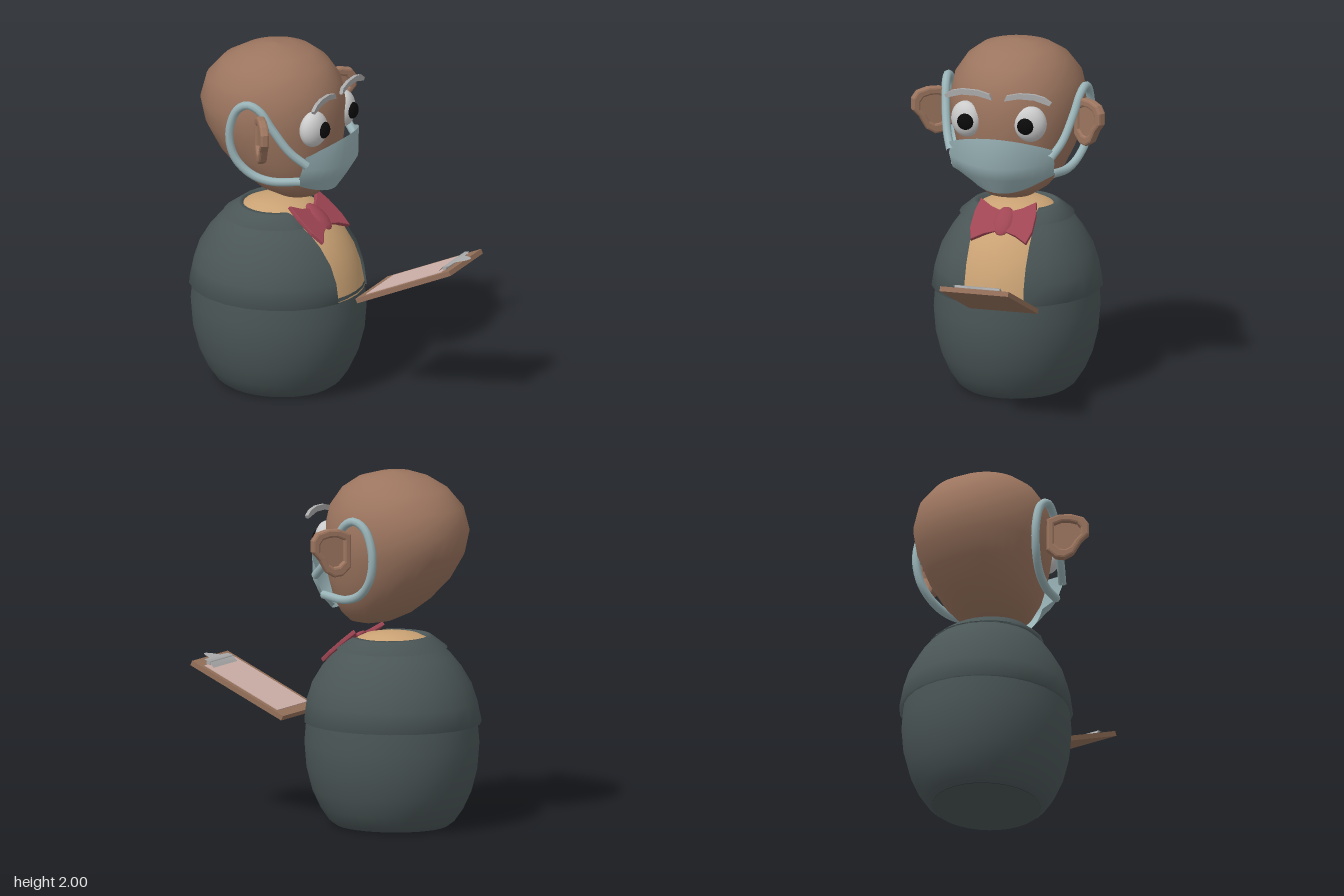
import * as THREE from 'three';

const SKIN = 0x9c755f, CLOTH = 0x4b5657, TAN = 0xcaa274, MASK = 0x9ab4b8, GREY = 0xaaaaaa;
const V = (x, y, z) => new THREE.Vector3(x, y, z);

export function createModel() {
  const model = new THREE.Group();

  function add(name, geometry, color, parent = model, double = false) {
    const material = new THREE.MeshStandardMaterial({ color });
    if (double) material.side = THREE.DoubleSide;
    const mesh = new THREE.Mesh(geometry, material);
    mesh.name = name;
    parent.add(mesh);
    return mesh;
  }

  // Smooth indexed surface over a grid of points
  function grid(rows, cols, point, closed = false) {
    const pos = [], idx = [];
    for (let j = 0; j < rows; j++) for (let i = 0; i < cols; i++) pos.push(...point(i, j));
    const last = closed ? cols : cols - 1;
    for (let j = 0; j < rows - 1; j++) for (let i = 0; i < last; i++) {
      const a = j * cols + i, b = j * cols + (i + 1) % cols, c = a + cols, d = b + cols;
      idx.push(a, c, b, b, c, d);
    }
    const g = new THREE.BufferGeometry();
    g.setAttribute('position', new THREE.Float32BufferAttribute(pos, 3));
    g.setIndex(idx);
    g.computeVertexNormals();
    return g;
  }

  // Stacked elliptic rings [y, centre x, radius x, radius z]; gap = half width of the front opening
  function loft(rings, segs, gap = 0) {
    return grid(rings.length, gap ? segs + 1 : segs, (i, j) => {
      const [y, cx, rx, rz] = rings[j];
      const a0 = gap ? Math.asin(Math.min(1, gap / rz)) : 0;
      const a = a0 + (2 * Math.PI - 2 * a0) * i / segs;
      return [cx + rx * Math.cos(a), y, rz * Math.sin(a)];
    }, !gap);
  }

  function extrude(points, depth, bevel = 0, hole) {
    const shape = new THREE.Shape(points.map(p => new THREE.Vector2(...p)));
    if (hole) shape.holes.push(new THREE.Path(hole.map(p => new THREE.Vector2(...p))));
    return new THREE.ExtrudeGeometry(shape, {
      depth, bevelEnabled: bevel > 0, bevelSize: bevel, bevelThickness: bevel, bevelSegments: 2, bevelOffset: -bevel
    });
  }

  // Lower body with flat base
  const C = -0.33;
  add('lowerBody', loft([
    [0.005, C, 0.32, 0.295], [0.03, C, 0.355, 0.33], [0.1, C, 0.405, 0.377], [0.2, C, 0.452, 0.42], [0.33, C, 0.486, 0.452],
    [0.47, C, 0.497, 0.463], [0.61, C, 0.485, 0.452]], 32), CLOTH);
  const base = add('base', new THREE.CircleGeometry(1, 32), CLOTH);
  base.rotation.x = Math.PI / 2;
  base.scale.set(0.32, 0.295, 1);
  base.position.set(C, 0.002, 0);

  // Shirt and neck stump under the jacket
  add('shirt', loft([
    [0.585, C, 0.488, 0.45], [0.7, C, 0.466, 0.43], [0.8, C, 0.43, 0.4], [0.9, C, 0.372, 0.35], [0.98, C, 0.3, 0.285],
    [1.04, C, 0.225, 0.22], [1.075, C, 0.15, 0.15], [1.09, C, 0.07, 0.07], [1.092, C, 0, 0]], 32), TAN);

  // Jacket, open at the front, with a short folded collar
  add('jacket', loft([
    [0.585, C, 0.46, 0.43], [0.585, C - 0.005, 0.502, 0.477], [0.7, C, 0.483, 0.458], [0.8, C, 0.45, 0.428],
    [0.9, C, 0.39, 0.372], [0.96, C, 0.338, 0.33], [1.02, C, 0.27, 0.27]], 20, 0.172), CLOTH, model, true);
  add('collar', loft([
    [1.0, C, 0.285, 0.28], [1.0, C, 0.307, 0.322], [1.065, C, 0.215, 0.245], [1.07, C, 0.2, 0.22], [1.04, C, 0.19, 0.2]],
    20, 0.165), CLOTH, model, true);

  // Head: egg leaning forward, given by rings [y, back x, front x, half width]
  const profile = [[1.13, -0.22, -0.16, 0.04], [1.15, -0.32, -0.085, 0.13], [1.2, -0.43, -0.04, 0.21],
    [1.28, -0.54, 0, 0.275], [1.4, -0.66, 0.03, 0.328], [1.54, -0.745, 0.045, 0.367], [1.67, -0.775, 0.05, 0.38],
    [1.8, -0.74, 0.02, 0.353], [1.9, -0.65, -0.05, 0.285], [1.96, -0.54, -0.14, 0.205], [1.99, -0.44, -0.25, 0.11]];
  const headRings = profile.map(([y, b, f, w]) => [y, (b + f) / 2, (f - b) / 2, w]);
  add('head', loft([[1.128, -0.19, 0, 0], ...headRings, [2, -0.35, 0, 0]], 36), SKIN);

  for (const s of [1, -1]) {
    const side = s > 0 ? 'left' : 'right';

    // Eyes
    const zc = s > 0 ? 0.2 : -0.172;
    const eye = add(side + 'Eye', new THREE.SphereGeometry(1, 24, 16), 0xd8d8d8);
    eye.scale.set(0.065, 0.103, 0.092);
    eye.rotation.y = -s * 0.3;
    eye.position.set(-0.01, 1.61, zc);
    const pupil = add(side + 'Pupil', new THREE.SphereGeometry(1, 20, 12), 0x0a0a0a);
    pupil.scale.set(0.03, 0.047, 0.047);
    pupil.position.set(0.05, 1.61, zc - s * 0.012);

    // Eyebrows, drawn in the z-y plane and standing off the forehead
    const brow = add(side + 'Eyebrow', extrude([[-0.035, 1.745], [-0.12, 1.765], [-0.21, 1.765], [-0.3, 1.74],
      [-0.31, 1.757], [-0.27, 1.784], [-0.21, 1.798], [-0.12, 1.796], [-0.05, 1.778]].map(([z, y]) => [s * z, y]), 0.02), GREY);
    brow.rotation.y = Math.PI / 2;
    brow.position.x = 0.03;

    // Ears: hollow rim plus a thin bowl, swept backwards
    const ear = new THREE.Group();
    ear.name = side + 'Ear';
    const outline = [[0, 1.5], [0.05, 1.455], [0.1, 1.45], [0.15, 1.48], [0.19, 1.55], [0.235, 1.6], [0.235, 1.665],
      [0.205, 1.705], [0.14, 1.722], [0.07, 1.72], [0, 1.69]];
    const hole = outline.map(([u, y]) => [0.11 + (u - 0.11) * 0.62, 1.6 + (y - 1.6) * 0.62]);
    add('earRim', extrude(outline, 0.025, 0.012, hole), SKIN, ear, true);
    add('earBowl', extrude(outline.map(([u, y]) => [0.11 + (u - 0.11) * 0.75, 1.6 + (y - 1.6) * 0.75]), 0.01), SKIN, ear);
    ear.rotation.y = Math.PI / 2 + Math.PI + 0.62;
    if (s < 0) {
      const mirror = new THREE.Group();
      mirror.name = 'rightEarMirror';
      mirror.scale.z = -1;
      mirror.add(ear);
      model.add(mirror);
    } else model.add(ear);
    ear.position.set(-0.26, 0, 0.355);

    // Mask straps looping round the ears
    const path = [[-0.005, 1.42, 0.29], [-0.09, 1.5, 0.335], [-0.18, 1.63, 0.37], [-0.25, 1.735, 0.39], [-0.32, 1.765, 0.4],
      [-0.39, 1.72, 0.4], [-0.435, 1.58, 0.4], [-0.41, 1.44, 0.385], [-0.33, 1.345, 0.355], [-0.22, 1.305, 0.325],
      [-0.05, 1.315, 0.28]];
    const curve = new THREE.CatmullRomCurve3(path.map(([x, y, z]) => V(x, y, s * z)));
    add(side + 'MaskStrap', new THREE.TubeGeometry(curve, 48, 0.024, 8), MASK);
  }

  // Face mask: curved sheet, rows [side x, side y, side z, centre x, centre y], bottom to top
  const maskRows = [[-0.085, 1.255, 0.21, 0.02, 1.2], [-0.06, 1.31, 0.295, 0.08, 1.29],
    [-0.03, 1.39, 0.305, 0.13, 1.37], [-0.01, 1.47, 0.298, 0.13, 1.545]];
  add('mask', grid(4, 13, (i, j) => {
    const t = i / 6 - 1, [sx, sy, sz, cx, cy] = maskRows[j], k = t * t;
    return [cx + (sx - cx) * k, cy + (sy - cy) * k, sz * t];
  }), MASK, model, true);

  // Bow tie lying on the slope of the chest
  const tie = new THREE.Group();
  tie.name = 'bowTie';
  for (const s of [1, -1]) {
    const wing = [[0.03, -0.075], [0.09, -0.095], [0.16, -0.14], [0.18, -0.06], [0.178, 0.05], [0.16, 0.138], [0.09, 0.09], [0.03, 0.065]];
    add('bowWing', extrude(wing.map(([z, v]) => [s * z, v]), 0.016, 0.004), 0xa04654, tie);
  }
  const knot = add('bowKnot', new THREE.SphereGeometry(1, 12, 8), 0xa04654, tie);
  knot.scale.set(0.06, 0.098, 0.026);
  knot.position.z = 0.008;
  const across = V(0, 0, -1), up = V(-0.21, 0.18, 0).normalize();
  tie.quaternion.setFromRotationMatrix(new THREE.Matrix4().makeBasis(across, up, across.clone().cross(up)));
  tie.position.set(-0.083, 1.005, 0.003);
  model.add(tie);

  // Clipboard: local x runs up the board, local y is its upper face
  const board = new THREE.Group();
  board.name = 'clipboard';
  add('board', new THREE.BoxGeometry(0.64, 0.028, 0.397), 0x94705a, board).position.x = 0.32;
  add('paper', new THREE.BoxGeometry(0.515, 0.004, 0.335), 0xcdb0a8, board).position.set(0.315, 0.016, 0);
  // Clip: bent strip, stations [along, height, half width]
  const clip = [[0.53, 0.017, 0.132], [0.575, 0.036, 0.132], [0.605, 0.03, 0.132], [0.612, 0.028, 0.06],
    [0.66, 0.016, 0.032], [0.675, 0.012, 0.01]];
  add('clip', grid(clip.length, 2, (i, j) => [clip[j][0], clip[j][1], clip[j][2] * (2 * i - 1)]), GREY, board, true);
  const bar = add('clipBar', new THREE.CylinderGeometry(0.012, 0.012, 0.26, 8), GREY, board);
  bar.rotation.x = Math.PI / 2;
  bar.position.set(0.575, 0.025, 0);
  board.rotation.z = 0.424;
  board.position.set(0.212, 0.595, -0.085);
  model.add(board);

  return model;
}
